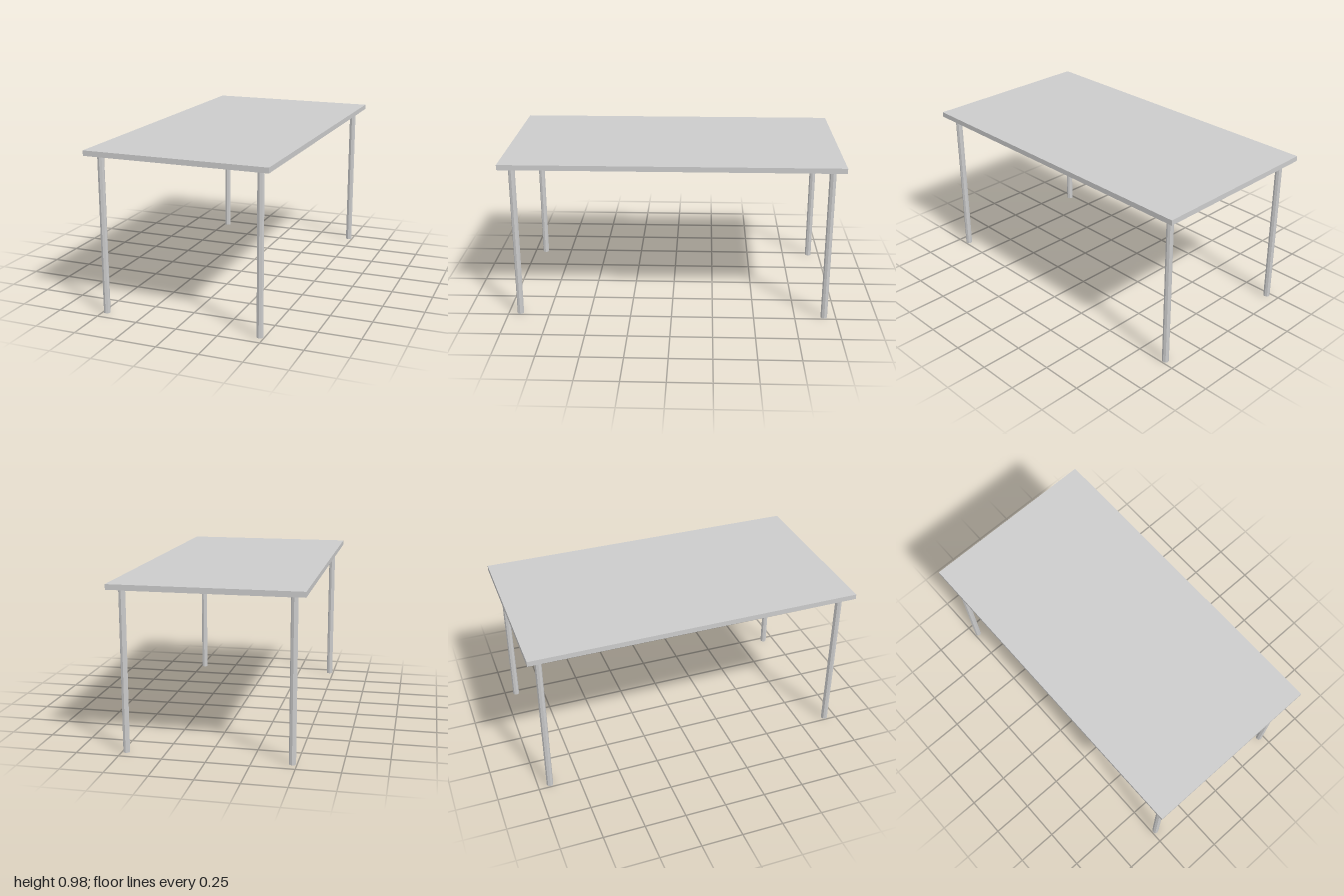
import * as THREE from 'three';

export function createModel() {
  const group = new THREE.Group();
  const material = new THREE.MeshStandardMaterial({ color: 0xcccccc, flatShading: true });

  function add(name, geometry, x, y, z) {
    const mesh = new THREE.Mesh(geometry, material);
    mesh.name = name;
    mesh.position.set(x, y, z);
    group.add(mesh);
  }

  const legX = 0.475, legZ = 0.928, legRadius = 0.02;
  const topBottom = 0.945, topThickness = 0.031;
  const railHeight = 0.014, railWidth = 0.016;

  // Flat table top
  add('tableTop', new THREE.BoxGeometry(1.09, topThickness, 2), 0, topBottom + topThickness / 2, 0);

  // Four eight-sided legs
  const legGeometry = new THREE.CylinderGeometry(legRadius, legRadius, topBottom, 8);
  for (const sx of [-1, 1]) {
    for (const sz of [-1, 1]) add('leg', legGeometry, sx * legX, topBottom / 2, sz * legZ);
  }

  // Thin rails under the top, running from leg to leg
  const railY = topBottom - railHeight / 2;
  const sideRail = new THREE.BoxGeometry(railWidth, railHeight, 2 * (legZ - legRadius / 2));
  const endRail = new THREE.BoxGeometry(2 * (legX - legRadius / 2), railHeight, railWidth);
  for (const s of [-1, 1]) {
    add('sideRail', sideRail, s * legX, railY, 0);
    add('endRail', endRail, 0, railY, s * legZ);
  }

  return group;
}
